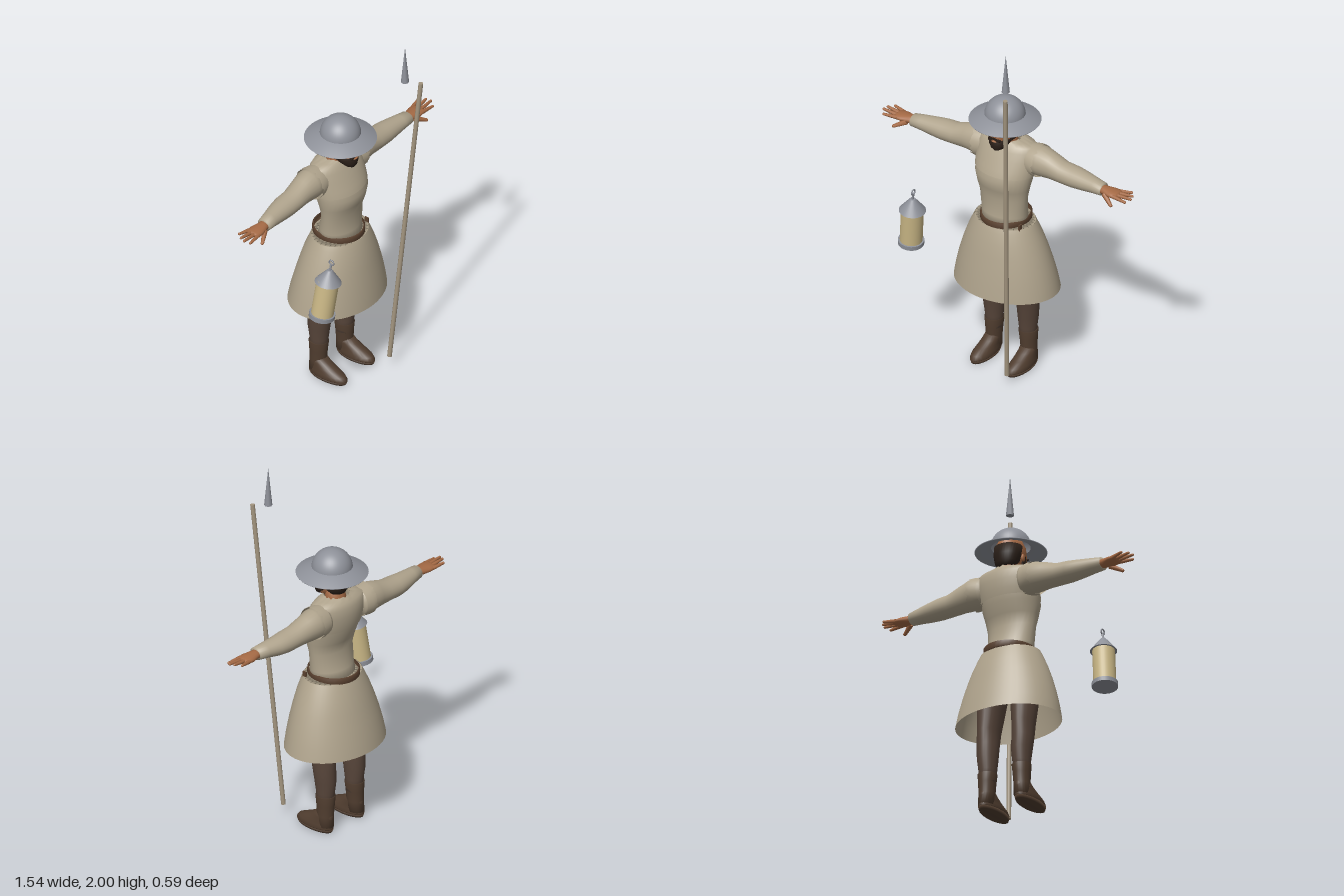
import * as THREE from 'three';

const mat = (name, color, side = THREE.FrontSide) => {
  const m = new THREE.MeshStandardMaterial({ color, side });
  m.name = name;
  return m;
};

// Skin through elliptical rings [t, cu, cv, ru, rv] along 'y' (u = x, v = z) or 'x' (u = z, v = y).
// jag pushes every other vertex of the last ring outwards for a torn edge.
function loft(rings, { axis = 'y', seg = 32, open = false, jag = 0 } = {}) {
  const pos = [], idx = [];
  const put = (t, u, v) => (axis === 'y' ? pos.push(u, t, v) : pos.push(t, v, u));
  rings.forEach(([t, cu, cv, ru, rv], k) => {
    for (let i = 0; i < seg; i++) {
      const a = (i / seg) * Math.PI * 2;
      const torn = k === rings.length - 1 ? jag * ((i % 2) + 0.5 * ((i * 7) % 3)) : 0;
      put(t + torn, cu + ru * Math.cos(a), cv + rv * Math.sin(a));
    }
  });
  for (let k = 0; k < rings.length - 1; k++) {
    for (let i = 0; i < seg; i++) {
      const a = k * seg + i, b = k * seg + ((i + 1) % seg);
      idx.push(a, a + seg, b, b, a + seg, b + seg);
    }
  }
  if (!open) {
    const last = (rings.length - 1) * seg, c = rings.length * seg;
    [rings[0], rings[rings.length - 1]].forEach((r) => put(r[0], r[1], r[2]));
    for (let i = 0; i < seg; i++) {
      const j = (i + 1) % seg;
      idx.push(c, i, j, c + 1, last + j, last + i);
    }
  }
  const g = new THREE.BufferGeometry();
  g.setAttribute('position', new THREE.Float32BufferAttribute(pos, 3));
  g.setIndex(idx);
  g.computeVertexNormals();
  return g;
}

// Tapered cylinder from point a to point b
function rod(a, b, r0, r1 = r0, seg = 12) {
  const A = new THREE.Vector3(...a), B = new THREE.Vector3(...b), d = B.clone().sub(A);
  const g = new THREE.CylinderGeometry(r1, r0, d.length(), seg);
  g.applyQuaternion(new THREE.Quaternion().setFromUnitVectors(new THREE.Vector3(0, 1, 0), d.normalize()));
  return g.translate(...A.add(B).multiplyScalar(0.5).toArray());
}

const ball = (x, y, z, rx, ry, rz) => new THREE.SphereGeometry(1, 16, 10).scale(rx, ry, rz).translate(x, y, z);
const box = (x, y, z, w, h, d, rz = 0) => new THREE.BoxGeometry(w, h, d).rotateZ(rz).translate(x, y, z);

// Copy reflected across x = 0 with the winding restored
function mirrored(geo) {
  const g = geo.clone().scale(-1, 1, 1);
  const ix = g.index.array;
  for (let i = 0; i < ix.length; i += 3) [ix[i], ix[i + 1]] = [ix[i + 1], ix[i]];
  g.computeVertexNormals();
  return g;
}

export function createModel() {
  const model = new THREE.Group();
  model.name = 'watchman';
  const cloth = mat('cloth', 0xb0a48d, THREE.DoubleSide);
  const steel = mat('steel', 0x8e9199, THREE.DoubleSide);
  const skin = mat('skin', 0xa56a45);
  const hose = mat('hose', 0x57453a);
  const boot = mat('boot leather', 0x503d2f);
  const belt = mat('belt leather', 0x5b4230, THREE.DoubleSide);
  const hair = mat('hair', 0x2b2019);
  const wood = mat('shaft wood', 0xa3957f);
  const horn = mat('lantern pane', 0xcdba88);
  const white = mat('eye white', 0xd8d0c4);

  const add = (name, geo, m) => {
    const mesh = new THREE.Mesh(geo, m);
    mesh.name = name;
    model.add(mesh);
  };
  const pair = (name, geo, m) => {
    add(name + 'Left', geo, m);
    add(name + 'Right', mirrored(geo), m);
  };

  // Tunic, mantle over the chest, and skirt
  add('tunic', loft([
    [0.84, 0, -0.05, 0.13, 0.105], [0.9, 0, -0.045, 0.128, 0.092], [1.0, 0, -0.037, 0.137, 0.078],
    [1.06, 0, -0.035, 0.148, 0.098], [1.12, 0, -0.04, 0.161, 0.115], [1.18, 0, -0.055, 0.165, 0.108],
    [1.26, 0, -0.08, 0.16, 0.088],
  ]), cloth);
  add('mantle', loft([
    [1.145, 0, -0.05, 0.168, 0.119], [1.18, 0, -0.06, 0.172, 0.117], [1.23, 0, -0.075, 0.176, 0.107],
    [1.275, 0, -0.083, 0.175, 0.095], [1.3, 0, -0.085, 0.16, 0.08], [1.312, 0, -0.082, 0.11, 0.068],
    [1.316, 0, -0.078, 0.07, 0.062],
  ], { open: true, jag: 0.006 }), cloth);
  add('skirt', loft([
    [0.47, 0, -0.067, 0.29, 0.225], [0.54, 0, -0.064, 0.277, 0.214], [0.62, 0, -0.06, 0.257, 0.198],
    [0.7, 0, -0.056, 0.232, 0.18], [0.77, 0, -0.053, 0.205, 0.163], [0.83, 0, -0.05, 0.178, 0.142],
    [0.855, 0, -0.05, 0.165, 0.132],
  ], { open: true, seg: 48 }), cloth);
  add('skirtTop', loft([[0.853, 0, -0.05, 0.165, 0.132], [0.858, 0, -0.05, 0.12, 0.1]]), cloth);

  // Belt with hanging end
  add('belt', loft([
    [0.85, 0, -0.058, 0.122, 0.128], [0.852, 0, -0.058, 0.131, 0.136],
    [0.882, 0, -0.058, 0.131, 0.136], [0.884, 0, -0.058, 0.122, 0.128],
  ], { open: true }), belt);
  add('beltEnd', box(0.136, 0.855, 0.015, 0.008, 0.05, 0.024), belt);

  // Sleeves and torn shoulder edges
  pair('sleeve', loft([
    [0.12, -0.095, 1.225, 0.075, 0.078], [0.2, -0.098, 1.225, 0.076, 0.08], [0.26, -0.098, 1.218, 0.066, 0.07],
    [0.33, -0.095, 1.206, 0.062, 0.057], [0.4, -0.095, 1.203, 0.062, 0.055], [0.46, -0.092, 1.202, 0.055, 0.049],
    [0.53, -0.084, 1.204, 0.045, 0.04], [0.585, -0.078, 1.204, 0.039, 0.033],
  ], { axis: 'x', seg: 24 }), cloth);
  pair('shoulderEdge', loft([
    [0.13, -0.093, 1.224, 0.08, 0.082], [0.165, -0.095, 1.224, 0.086, 0.086], [0.18, -0.095, 1.224, 0.086, 0.087],
  ], { axis: 'x', open: true, jag: 0.01 }), cloth);

  // Hands: palm, four fingers and thumb
  pair('palm', loft([
    [0.56, -0.078, 1.204, 0.028, 0.023], [0.6, -0.078, 1.203, 0.031, 0.022], [0.64, -0.078, 1.203, 0.042, 0.02],
    [0.675, -0.078, 1.204, 0.042, 0.015], [0.685, -0.078, 1.204, 0.036, 0.009],
  ], { axis: 'x', seg: 16 }), skin);
  const fingers = [[-0.11, -0.122, 0.728, 1.212], [-0.088, -0.092, 0.752, 1.214], [-0.067, -0.066, 0.76, 1.211], [-0.047, -0.04, 0.742, 1.2]];
  fingers.forEach(([z0, z1, x, y], i) => {
    pair('finger' + (i + 1), rod([0.665, 1.204, z0], [x, y, z1], 0.011, 0.007, 8), skin);
    pair('fingertip' + (i + 1), ball(x, y, z1, 0.008, 0.007, 0.007), skin);
  });
  pair('thumb', rod([0.61, 1.195, -0.052], [0.668, 1.165, -0.022], 0.015, 0.009, 8), skin);
  pair('thumbTip', ball(0.668, 1.165, -0.022, 0.01, 0.009, 0.009), skin);

  // Head and neck
  add('neck', loft([[1.25, 0, -0.075, 0.065, 0.055], [1.31, 0, -0.07, 0.053, 0.052], [1.38, 0, -0.055, 0.05, 0.05]]), skin);
  add('head', loft([
    [1.3, 0, 0.0, 0.03, 0.035], [1.32, 0, -0.018, 0.05, 0.06], [1.35, 0, -0.03, 0.061, 0.08],
    [1.385, 0, -0.038, 0.067, 0.088], [1.42, 0, -0.042, 0.07, 0.092], [1.46, 0, -0.045, 0.068, 0.088],
    [1.5, 0, -0.045, 0.05, 0.065],
  ]), skin);
  add('hair', loft([
    [1.335, 0, -0.085, 0.045, 0.04], [1.36, 0, -0.08, 0.066, 0.052], [1.4, 0, -0.077, 0.074, 0.063],
    [1.45, 0, -0.07, 0.075, 0.068],
  ]), hair);
  add('beard', loft([
    [1.288, 0, 0.028, 0.016, 0.014], [1.3, 0, 0.02, 0.036, 0.03], [1.32, 0, 0.004, 0.053, 0.05],
    [1.342, 0, -0.008, 0.061, 0.062], [1.353, 0, -0.01, 0.06, 0.056],
  ]), hair);
  add('nose', rod([0, 1.402, 0.045], [0, 1.377, 0.056], 0.007, 0.012, 10), skin);
  add('lips', ball(0, 1.345, 0.051, 0.016, 0.004, 0.007), skin);
  pair('moustache', box(0.017, 1.357, 0.047, 0.036, 0.01, 0.014, -0.25), hair);
  pair('sideburn', box(0.06, 1.375, -0.025, 0.016, 0.06, 0.035, 0.08), hair);
  pair('ear', ball(0.073, 1.385, -0.045, 0.008, 0.021, 0.014), skin);
  pair('eye', ball(0.026, 1.404, 0.042, 0.011, 0.005, 0.006), white);
  pair('pupil', ball(0.026, 1.404, 0.047, 0.0045, 0.0045, 0.003), hair);
  pair('brow', box(0.027, 1.416, 0.046, 0.03, 0.007, 0.01, 0.12), hair);

  // Kettle helmet
  const brim = [[0.105, 0.035], [0.13, 0.026], [0.185, 0], [0.182, -0.004], [0.128, 0.019], [0.1, 0.026]];
  add('helmetBrim', new THREE.LatheGeometry(brim.map((p) => new THREE.Vector2(...p)).reverse(), 48)
    .translate(0, 1.432, -0.047), steel);
  add('helmetDome', new THREE.SphereGeometry(0.105, 40, 16, 0, Math.PI * 2, 0, Math.PI / 2)
    .translate(0, 1.457, -0.047), steel);

  // Legs, boots and feet
  pair('leg', loft([
    [0.15, 0.105, -0.103, 0.045, 0.046], [0.22, 0.104, -0.102, 0.046, 0.05], [0.29, 0.105, -0.102, 0.053, 0.06],
    [0.36, 0.107, -0.095, 0.055, 0.065], [0.44, 0.106, -0.088, 0.055, 0.074], [0.55, 0.102, -0.075, 0.065, 0.083],
    [0.75, 0.08, -0.06, 0.075, 0.09],
  ], { seg: 24 }), hose);
  pair('bootShaft', loft([
    [0.03, 0.11, -0.108, 0.04, 0.046], [0.09, 0.108, -0.104, 0.042, 0.046], [0.15, 0.106, -0.104, 0.045, 0.049],
    [0.2, 0.105, -0.103, 0.05, 0.053], [0.203, 0.105, -0.103, 0.044, 0.047],
  ], { seg: 24 }), boot);
  pair('foot', loft([
    [0.012, 0.112, -0.037, 0.048, 0.114], [0.022, 0.112, -0.037, 0.052, 0.118], [0.04, 0.112, -0.042, 0.049, 0.11],
    [0.062, 0.111, -0.064, 0.043, 0.086], [0.085, 0.109, -0.09, 0.041, 0.062], [0.11, 0.108, -0.103, 0.038, 0.044],
  ], { seg: 24 }), boot);
  pair('sole', loft([[0, 0.112, -0.037, 0.046, 0.112], [0.016, 0.112, -0.037, 0.052, 0.118]], { seg: 24 }), boot);

  // Spear: leaning shaft and separate upright head
  add('spearShaft', rod([0.15, 0.065, 0.15], [0.235, 1.785, 0.285], 0.012), wood);
  add('spearHead', rod([0.19, 1.79, 0.218], [0.19, 2.0, 0.218], 0.021, 0.0005, 8), steel);

  // Lantern, slightly tilted
  add('lanternBase', rod([-0.427, 0.655, 0.17], [-0.425, 0.678, 0.172], 0.067, 0.067, 32), steel);
  add('lanternPane', rod([-0.425, 0.675, 0.172], [-0.403, 0.88, 0.192], 0.058, 0.058, 32), horn);
  add('lanternRoof', rod([-0.403, 0.868, 0.192], [-0.397, 0.94, 0.198], 0.069, 0.014, 32), steel);
  add('lanternRod', rod([-0.397, 0.935, 0.198], [-0.391, 0.975, 0.202], 0.006), steel);
  add('lanternRing', new THREE.TorusGeometry(0.014, 0.004, 8, 20).rotateY(Math.PI / 2).translate(-0.39, 0.983, 0.203), steel);

  return model;
}
